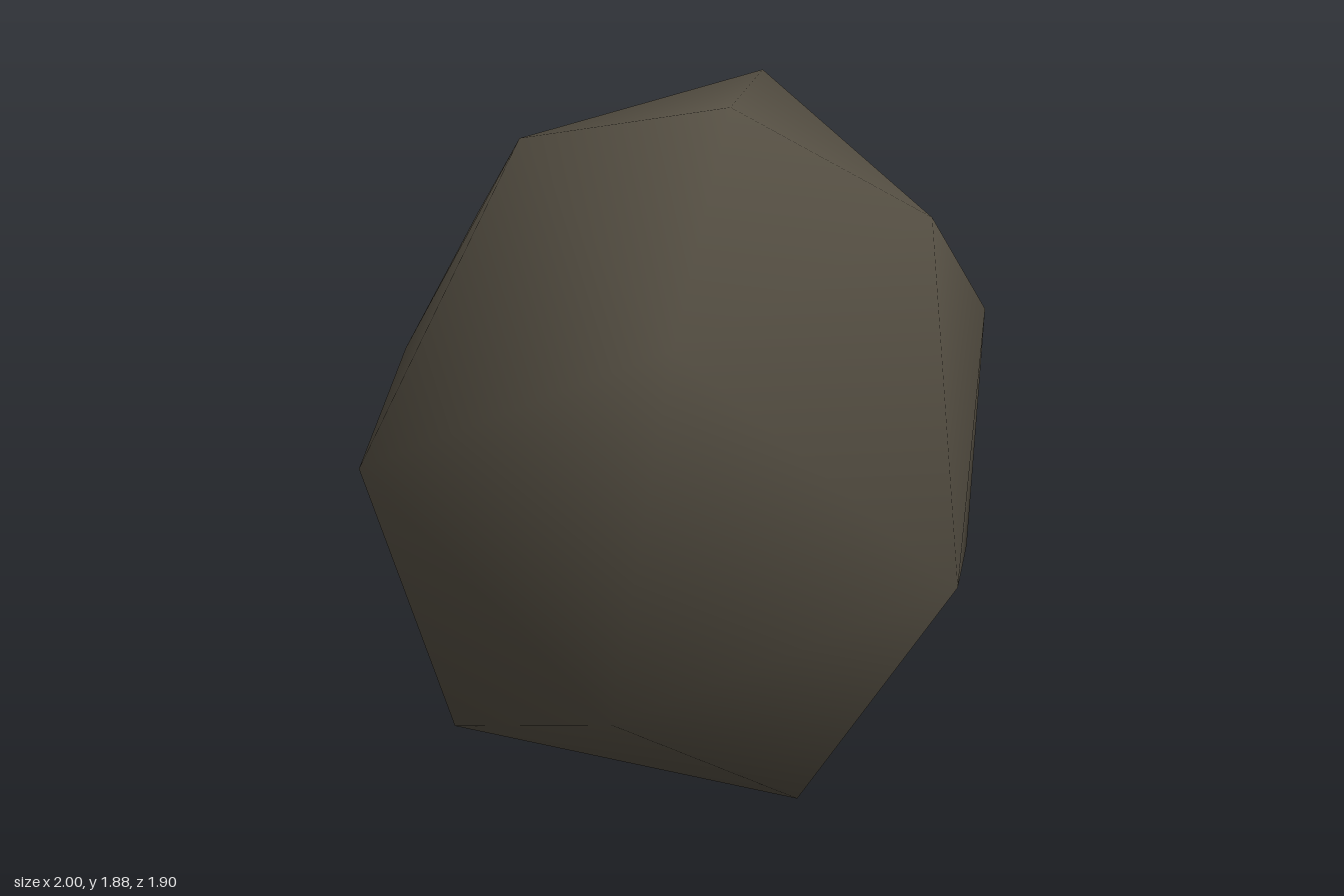
import * as THREE from 'three';
import { mergeVertices } from 'three/addons/utils/BufferGeometryUtils.js';
import { ConvexGeometry } from 'three/addons/geometries/ConvexGeometry.js';

// Boulder corners, wrapped in a convex skin
const boulder = [
  // crown
  [0.43, 1.88, 0.26], [-0.06, 1.865, -0.38], [-0.05, 1.78, 0.52],
  // shoulders
  [0.76, 1.6, -0.12], [-0.73, 1.44, 0.07], [0.71, 1.4, 0.74],
  [-0.42, 1.4, -0.73], [0.38, 1.2, -0.82], [-0.43, 1.19, 0.59],
  // waist
  [-0.19, 0.98, 0.95], [1, 0.73, 0.04], [-1, 0.73, 0.02],
  // underside
  [0.6, 0.48, 0.84], [0.25, 0.46, -0.93], [-0.3, 0.16, 0.56], [0.44, 0, 0],
];

// Spur: each corner of its root on the boulder, paired with the corner of its tip
const spur = [
  { root: [-0.59, 0.67, -0.91], tip: [-0.82, 0.26, -0.95] },
  { root: [-0.82, 0.515, -0.2], tip: [-0.94, 0.22, -0.34] },
  { root: [-0.02, 0.335, -0.75], tip: [-0.23, 0.07, -0.88] },
].map(({ root, tip }) => ({ root: new THREE.Vector3(...root), tip: new THREE.Vector3(...tip) }));

function rockGeometry() {
  const corners = boulder.map((c) => new THREE.Vector3(...c)).concat(spur.map((s) => s.root));
  const skin = new ConvexGeometry(corners).getAttribute('position');
  const points = [];

  for (let i = 0; i < skin.count; i += 3) {
    const face = [0, 1, 2].map((k) => new THREE.Vector3().fromBufferAttribute(skin, i + k));
    const tips = face.map((p) => spur.find((s) => s.root.distanceTo(p) < 1e-4)?.tip);
    if (!tips.every(Boolean)) {
      points.push(...face);
      continue;
    }
    // The root face is drawn out into the spur: three sides and an end
    for (let a = 0; a < 3; a++) {
      const b = (a + 1) % 3;
      points.push(face[a], face[b], tips[b], face[a], tips[b], tips[a]);
    }
    points.push(...tips);
  }

  // Shared corners give smooth shading over the whole rock
  const geometry = mergeVertices(new THREE.BufferGeometry().setFromPoints(points), 1e-4);
  geometry.computeVertexNormals();
  return geometry;
}

export function createModel() {
  const stone = new THREE.MeshStandardMaterial({ color: 0x544e42 });
  stone.name = 'dark stone';

  const rock = new THREE.Mesh(rockGeometry(), stone);
  rock.name = 'rock';

  const group = new THREE.Group();
  group.name = 'spurred boulder';
  group.add(rock);
  return group;
}
